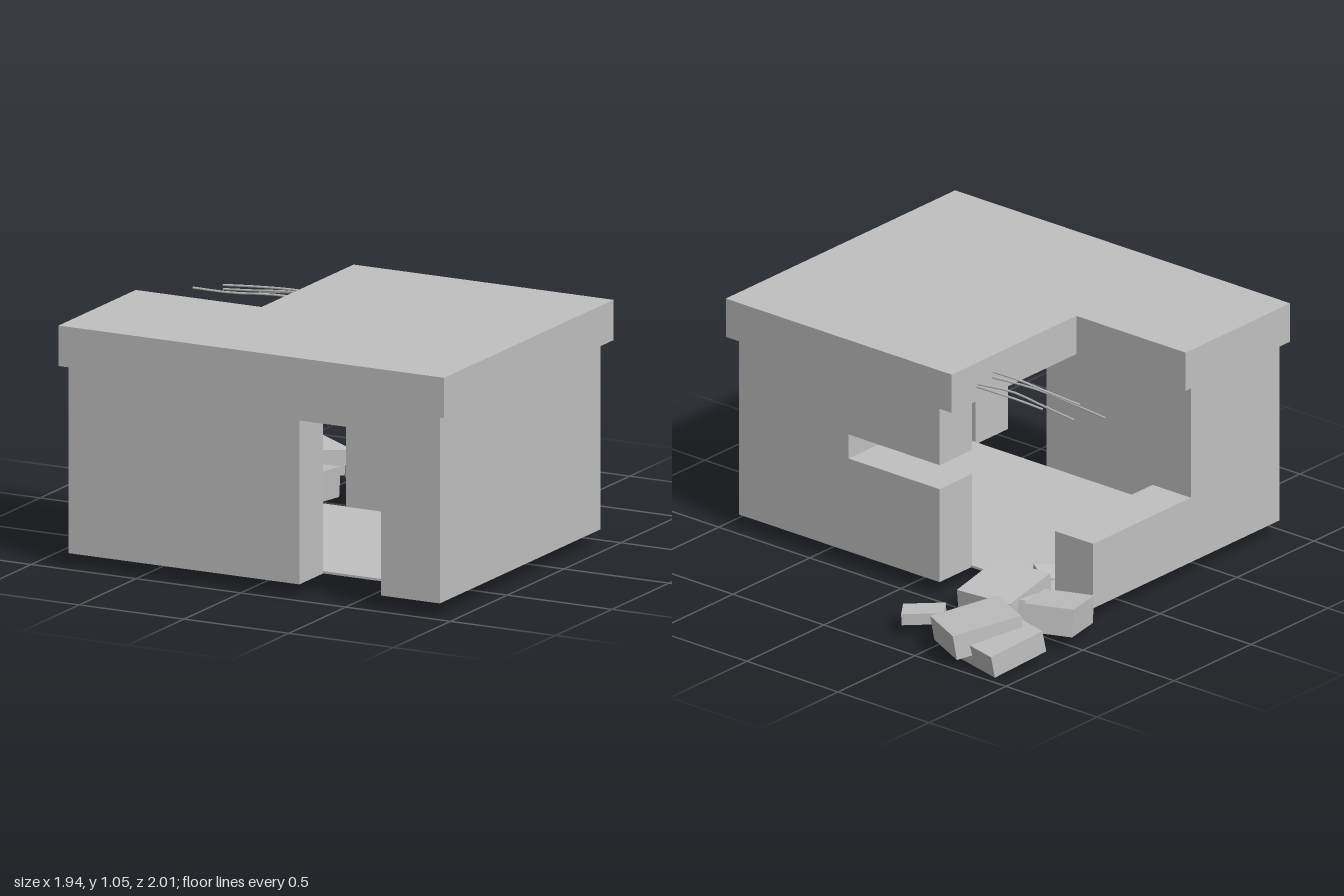
import * as THREE from 'three';

export function createModel() {
  const model = new THREE.Group();
  model.name = 'ruinedHut';
  const concrete = new THREE.MeshStandardMaterial({ color: 0xc0c0c0 });
  concrete.name = 'concreteGrey';

  const add = (name, geometry, parent = model) => {
    const mesh = new THREE.Mesh(geometry, concrete);
    mesh.name = name;
    parent.add(mesh);
    return mesh;
  };
  // Box given by its limits on each axis
  const block = (name, [x0, x1], [y0, y1], [z0, z1]) =>
    add(name, new THREE.BoxGeometry(x1 - x0, y1 - y0, z1 - z0))
      .position.set((x0 + x1) / 2, (y0 + y1) / 2, (z0 + z1) / 2);
  // Outline pushed out along +z
  const slab = (points, depth) => new THREE.ExtrudeGeometry(
    new THREE.Shape(points.map(([x, y]) => new THREE.Vector2(x, y))),
    { depth, bevelEnabled: false });

  const base = 0.07, top = 0.885, thick = 0.21;
  const left = 0.93, right = -0.84, front = 0.965, back = -0.45;

  // Front wall with an open doorway
  add('frontWall', slab([
    [right, base], [0.26, base], [0.26, 0.78], [0.65, 0.78], [0.65, base],
    [left, base], [left, top], [right, top],
  ], thick)).position.z = front - thick;

  // Back wall, broken off through its window
  add('backWall', slab([
    [-0.17, base], [left, base], [left, top], [-0.17, top],
    [-0.17, 0.605], [0.33, 0.605], [0.33, 0.495], [-0.17, 0.495],
  ], thick)).position.z = back;

  // Side walls; the right one is broken down to a low stump
  block('leftWall', [left - thick, left], [base, top], [back + thick, front - thick]);
  block('rightWall', [right, right + thick], [base, top], [0.39, front - thick]);
  block('rightWallStump', [right, right + thick], [base, 0.365], [-0.245, 0.39]);
  block('floor', [right + thick, left - thick], [base, 0.08], [-0.245, front - thick]);

  // Roof slab with its rear corner missing
  const roof = slab([
    [-0.87, -1], [0.97, -1], [0.97, 0.49], [-0.27, 0.49], [-0.27, -0.32], [-0.87, -0.32],
  ], 0.175);
  roof.rotateX(-Math.PI / 2);
  add('roof', roof).position.y = top;

  // Bent reinforcing rods at the broken roof edge
  const rods = new THREE.Group();
  rods.name = 'reinforcingRods';
  model.add(rods);
  [
    [[-0.26, 0.96, -0.225], [-0.5, 0.965, -0.21], [-0.7, 0.95, -0.205], [-0.89, 0.945, -0.22]],
    [[-0.26, 0.98, -0.215], [-0.42, 0.985, -0.22], [-0.6, 0.97, -0.215], [-0.74, 0.96, -0.21]],
    [[-0.26, 0.96, -0.32], [-0.45, 0.97, -0.305], [-0.62, 0.96, -0.315], [-0.8, 0.945, -0.32]],
    [[-0.26, 0.95, -0.325], [-0.35, 0.955, -0.33], [-0.5, 0.95, -0.32], [-0.62, 0.94, -0.31]],
  ].forEach((points) => {
    const path = new THREE.CatmullRomCurve3(points.map((p) => new THREE.Vector3(...p)));
    add('rod', new THREE.TubeGeometry(path, 8, 0.005, 5), rods);
  });

  // Fallen rubble: size, position, then tilt (x), turn (y), roll (z)
  const rubble = new THREE.Group();
  rubble.name = 'rubble';
  model.add(rubble);
  [
    [[0.26, 0.1, 0.27], [-0.81, 0.085, -0.81], [-0.2, -0.25, 0]],
    [[0.27, 0.11, 0.31], [-0.675, 0.12, -0.8], [-0.15, -0.5, -0.06]],
    [[0.18, 0.05, 0.12], [-0.35, 0.08, -0.765], [0.03, 0.63, -0.06]],
    [[0.27, 0.13, 0.3], [-0.51, 0.1, -0.43], [-0.12, 0.1, 0]],
    [[0.22, 0.12, 0.28], [-0.805, 0.1, -0.43], [0.17, 0.38, 0]],
    [[0.08, 0.07, 0.12], [-0.66, 0.1, -0.44], [0.1, 0.5, 0.1]],
    [[0.12, 0.05, 0.16], [-0.5, 0.07, -0.09], [0.15, -0.5, 0.15]],
    [[0.14, 0.05, 0.1], [-0.55, 0.065, -0.12], [-0.2, 0.25, -0.1]],
  ].forEach(([size, position, [tilt, turn, roll]]) => {
    const chunk = add('rubbleChunk', new THREE.BoxGeometry(...size), rubble);
    chunk.position.set(...position);
    chunk.rotation.set(tilt, turn, roll, 'YXZ');
  });

  return model;
}
